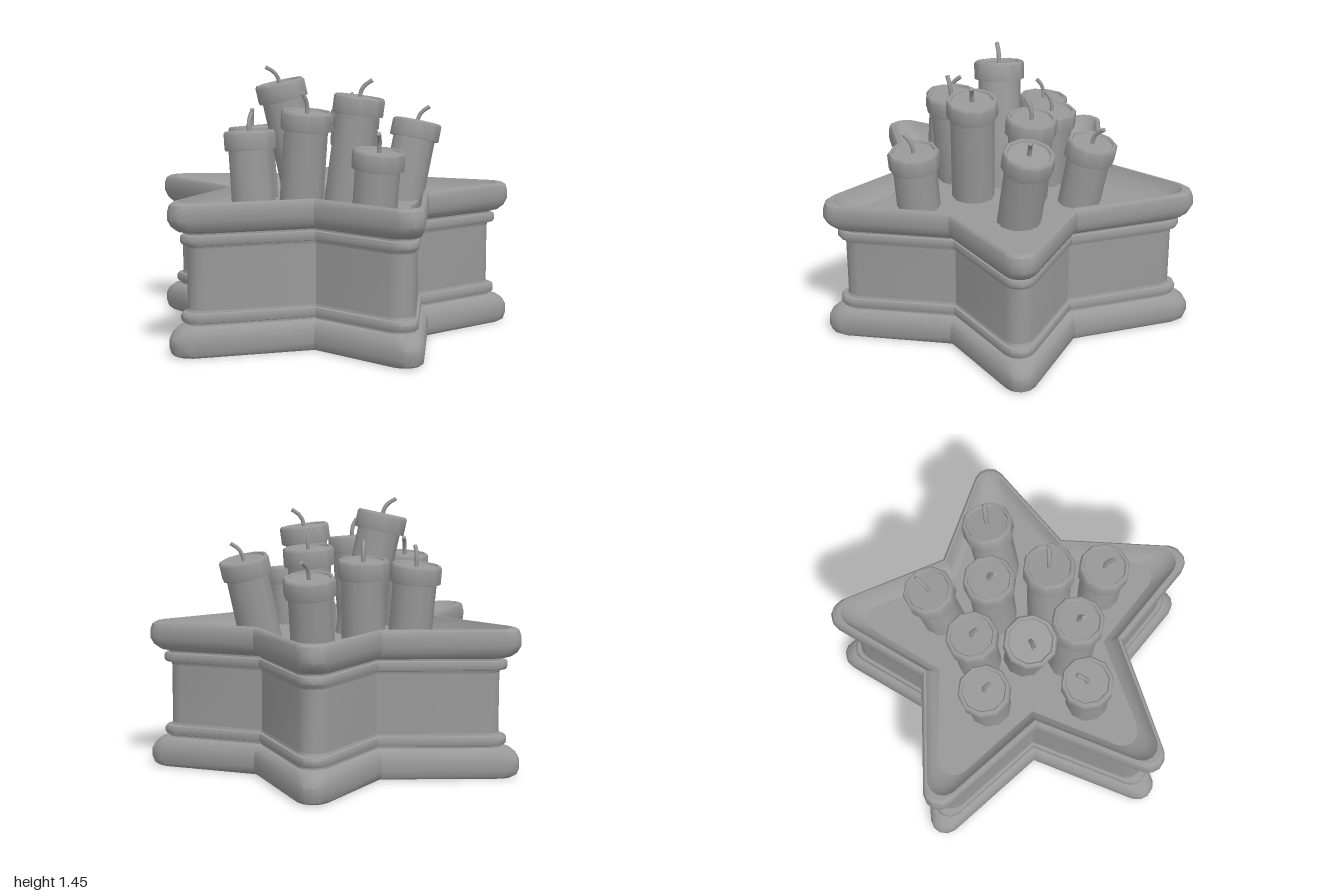
import * as THREE from 'three';
import { toCreasedNormals } from 'three/addons/utils/BufferGeometryUtils.js';

const grey = new THREE.MeshStandardMaterial({ color: 0x999999, side: THREE.DoubleSide });
grey.name = 'grey';

// Star corners in (x, z): rounded tip centres and inner corners, half of them mirrored
const TIPS = [[0.865, 0], [0.205, 0.915], [-0.87, 0.565], [-0.87, -0.565], [0.205, -0.915]];
const INNERS = [[0.43, 0.34], [-0.215, 0.56], [-0.615, 0], [-0.215, -0.56], [0.43, -0.34]];
const TIP_RADIUS = 0.085;
const ARC_STEPS = 4;

// Star outline drawn in by "inset", measured at the tips
function starOutline(inset) {
  const centre = new THREE.Vector2(-0.04, 0);
  const points = [];
  TIPS.forEach((tip, i) => {
    const before = new THREE.Vector2(...INNERS[(i + 4) % 5]);
    const after = new THREE.Vector2(...INNERS[i]);
    const c = new THREE.Vector2(...tip);
    const out = c.clone().sub(before.clone().add(after).multiplyScalar(0.5)).normalize();
    c.addScaledVector(out, -inset);
    const heading = Math.atan2(out.y, out.x);
    for (let k = 0; k <= ARC_STEPS; k++) {
      const a = heading + (k / ARC_STEPS - 0.5) * 2.1;
      points.push(new THREE.Vector2(c.x + TIP_RADIUS * Math.cos(a), c.y + TIP_RADIUS * Math.sin(a)));
    }
    const inward = centre.clone().sub(after).normalize();
    points.push(after.addScaledVector(inward, inset * 0.53));
  });
  return points;
}

// Sweeps a profile of [inset, height] around the star
function starShell(profile) {
  const positions = [];
  const index = [];
  let n = 0;
  for (const [inset, y] of profile) {
    const ring = starOutline(inset);
    n = ring.length;
    for (const p of ring) positions.push(p.x, y, p.y);
  }
  for (let j = 0; j < profile.length - 1; j++) {
    for (let i = 0; i < n; i++) {
      const a = j * n + i;
      const b = j * n + (i + 1) % n;
      index.push(a, a + n, b, b, a + n, b + n);
    }
  }
  const geometry = new THREE.BufferGeometry();
  geometry.setAttribute('position', new THREE.Float32BufferAttribute(positions, 3));
  geometry.setIndex(index);
  return toCreasedNormals(geometry, 0.7);
}

function addMesh(parent, geometry, name) {
  const mesh = new THREE.Mesh(geometry, grey);
  mesh.name = name;
  parent.add(mesh);
  return mesh;
}

// Lathe with ten sides
function turned(profile) {
  const points = profile.map(([r, y]) => new THREE.Vector2(r, y));
  return toCreasedNormals(new THREE.LatheGeometry(points, 10), 0.7);
}

// Firecrackers: top centre x, y, z, lean x, z, and fuse direction x, z
const CRACKERS = [
  [-0.335, 1.36, 0.015, -0.22, 0, -1, 0.1],
  [0.45, 1.13, -0.08, 0.22, -0.1, 0.9, 0.2],
  [0.13, 1.03, 0.51, 0.06, 0.07, -0.3, 0.8],
  [0.08, 1.29, 0.19, 0.13, 0.01, 1, 0.1],
  [-0.215, 1.22, 0.29, 0.06, 0.07, -0.6, 0.2],
  [-0.52, 1.12, 0.28, -0.05, -0.06, 0.4, -0.9],
  [0.15, 1.06, -0.45, 0.08, -0.17, 0.7, -0.7],
  [0.105, 1.19, -0.125, 0.07, -0.05, -0.6, 0.6],
  [-0.17, 1.13, -0.265, 0.02, -0.08, -0.2, 0.8],
  [-0.465, 1.1, -0.25, -0.07, -0.07, 0.1, 0.8],
];

export function createModel() {
  const model = new THREE.Group();
  model.name = 'starFireworkBox';

  // Lower moulding, repeated upside down for the upper one
  const H = 0.79;
  const moulding = [
    [0.035, 0], [0.012, 0.012], [0, 0.045], [0, 0.09], [0.02, 0.125], [0.055, 0.15], [0.1, 0.158],
    [0.1, 0.168], [0.08, 0.172], [0.073, 0.185], [0.073, 0.205], [0.082, 0.218], [0.108, 0.222], [0.115, 0.235],
  ];
  const upper = moulding.map(([d, y]) => [d, H - y]).reverse();
  addMesh(model, starShell(moulding), 'baseMoulding');
  addMesh(model, starShell([moulding.at(-1), upper[0]]), 'starWall');
  addMesh(model, starShell(upper), 'topMoulding');

  // Stepped recess inside the rim, and its floor
  const floorY = 0.7;
  addMesh(model, starShell([[0.035, H], [0.06, H], [0.075, 0.77], [0.13, 0.725], [0.2, floorY]]), 'innerRim');
  const outline = starOutline(0.2).map((p) => new THREE.Vector2(p.x, -p.y));
  const floor = new THREE.ShapeGeometry(new THREE.Shape(outline)).rotateX(-Math.PI / 2);
  addMesh(model, floor, 'boxFloor').position.y = floorY;

  // Shared firecracker parts, with the origin at the top
  const bodyGeometry = turned([[0.118, -0.86], [0.118, -0.09]]);
  const capGeometry = turned([
    [0.115, -0.1], [0.137, -0.1], [0.139, -0.09], [0.139, -0.012], [0.13, 0], [0.118, 0], [0.112, -0.012], [0, -0.012],
  ]);
  const up = new THREE.Vector3(0, 1, 0);
  CRACKERS.forEach(([x, y, z, leanX, leanZ, fx, fz]) => {
    const cracker = new THREE.Group();
    cracker.name = 'firecracker';
    cracker.position.set(x, y, z);
    cracker.quaternion.setFromUnitVectors(up, new THREE.Vector3(leanX, 1, leanZ).normalize());
    addMesh(cracker, bodyGeometry, 'crackerTube');
    addMesh(cracker, capGeometry, 'crackerCap');

    // Bent fuse
    const path = new THREE.CatmullRomCurve3([
      new THREE.Vector3(0, -0.02, 0),
      new THREE.Vector3(0.004 * fx, 0.03, 0.004 * fz),
      new THREE.Vector3(0.022 * fx, 0.063, 0.022 * fz),
      new THREE.Vector3(0.055 * fx, 0.092, 0.055 * fz),
    ]);
    addMesh(cracker, new THREE.TubeGeometry(path, 6, 0.012, 6), 'fuse');
    const tip = addMesh(cracker, new THREE.CircleGeometry(0.012, 6), 'fuseTip');
    tip.position.copy(path.getPoint(1));
    tip.quaternion.setFromUnitVectors(new THREE.Vector3(0, 0, 1), path.getTangent(1));
    model.add(cracker);
  });

  return model;
}
